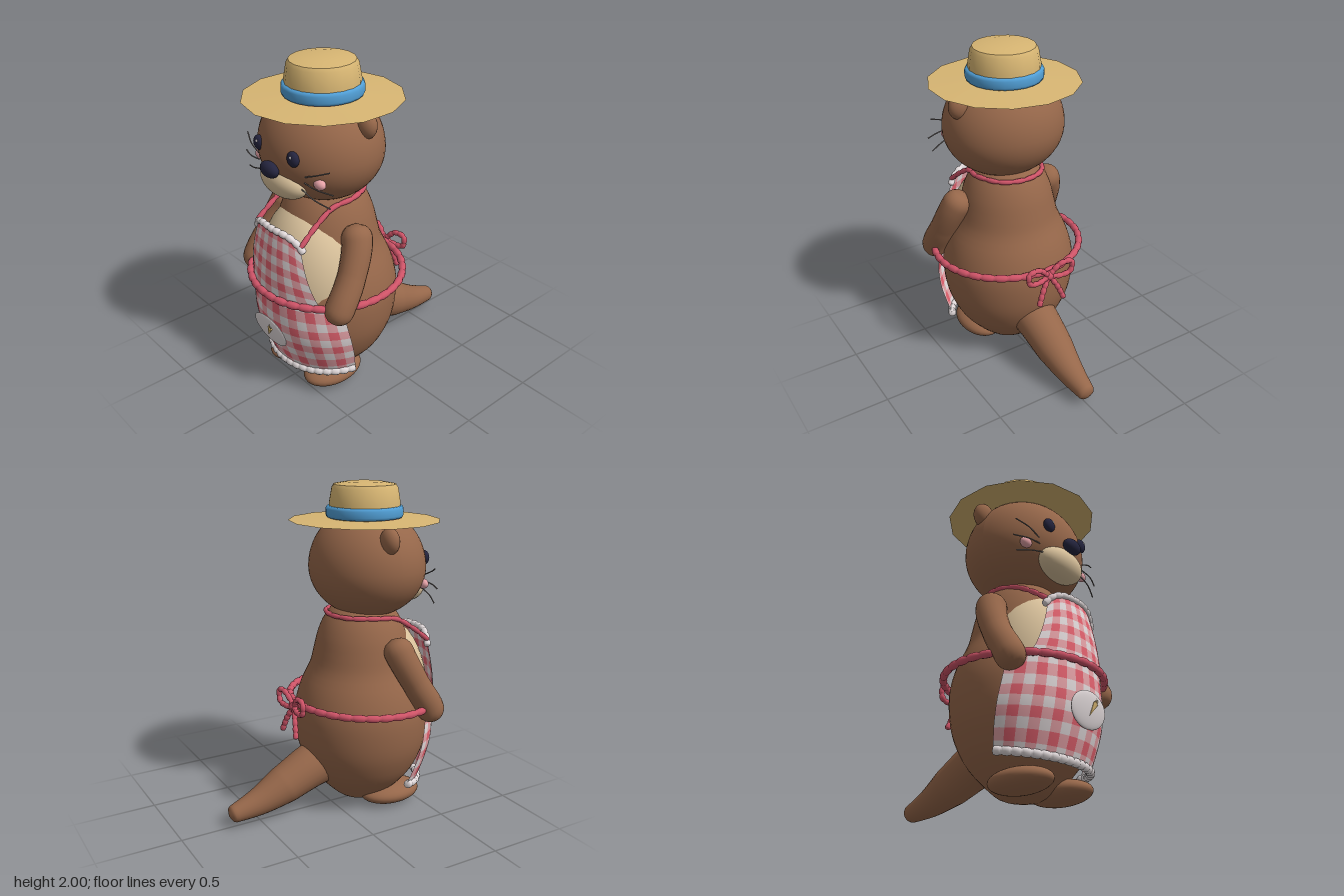
import * as THREE from 'three';
import { mergeVertices, toCreasedNormals } from 'three/addons/utils/BufferGeometryUtils.js';

const mat = (name, color, side = THREE.FrontSide) => {
  const m = new THREE.MeshStandardMaterial({ color, side });
  m.name = name;
  return m;
};
const V = (x, y, z) => new THREE.Vector3(x, y, z);
const CZ = 0.22; // depth of the body axis

export function createModel() {
  const model = new THREE.Group();
  const fur = mat('brown fur', 0x96674a);
  const cream = mat('cream', 0xdac29c);
  const straw = mat('straw', 0xd8b673);
  const blue = mat('ribbon blue', 0x519fd6);
  const cord = mat('cord red', 0xcf5468);
  const checkRed = mat('check red', 0xe3626f, THREE.DoubleSide);
  const pink = mat('soft pink', 0xe6a3a8, THREE.DoubleSide);
  const white = mat('white cotton', 0xe2dadb, THREE.DoubleSide);
  const navy = mat('dark navy', 0x25253f);
  const grey = mat('whisker grey', 0x77716f);

  const add = (name, geometry, material, parent = model) => {
    const mesh = new THREE.Mesh(geometry, material);
    mesh.name = name;
    parent.add(mesh);
    return mesh;
  };
  const ball = (name, material, pos, size, seg = 32) => {
    const mesh = add(name, new THREE.SphereGeometry(1, seg, Math.ceil(seg * 0.6)), material);
    mesh.position.set(...pos);
    mesh.scale.set(...size);
    return mesh;
  };
  const lathe = (name, material, pts, seg, z, crease) => {
    let g = new THREE.LatheGeometry(pts.map(p => new THREE.Vector2(...p)), seg);
    if (crease) g = toCreasedNormals(g, crease);
    const mesh = add(name, g, material);
    mesh.position.z = z;
    return mesh;
  };
  // Tube whose radius follows a rule along its path
  const sweep = (name, material, pts, radius, segs, sides = 8, closed = false) => {
    const curve = new THREE.CatmullRomCurve3(pts, closed);
    const tube = new THREE.TubeGeometry(curve, segs, 1, sides, closed);
    const pos = tube.attributes.position, p = V(0, 0, 0);
    for (let i = 0; i <= segs; i++) {
      const c = curve.getPointAt(i / segs), r = radius(i / segs);
      for (let j = 0; j <= sides; j++) {
        const k = i * (sides + 1) + j;
        p.fromBufferAttribute(pos, k).sub(c).multiplyScalar(r).add(c);
        pos.setXYZ(k, p.x, p.y, p.z);
      }
    }
    tube.deleteAttribute('normal');
    tube.deleteAttribute('uv');
    const g = mergeVertices(tube, 1e-5);
    g.computeVertexNormals();
    return add(name, g, material);
  };
  // Radius rules: a string of beads, and a limb with rounded ends
  const beads = (r, n) => t => r * (0.72 + 0.28 * Math.sqrt(Math.abs(Math.sin(t * n * Math.PI))));
  const limb = (r0, r1, r2, cap0, cap1) => t => {
    const r = t < 0.5 ? THREE.MathUtils.lerp(r0, r1, t * 2) : THREE.MathUtils.lerp(r1, r2, t * 2 - 1);
    const round = (d, cap) => (d >= cap ? 1 : Math.sqrt(Math.max(0, 1 - (1 - d / cap) ** 2)));
    return r * round(t, cap0) * round(1 - t, cap1);
  };

  // Body, belly and head
  const profile = [[0, 0.015], [0.12, 0.025], [0.2, 0.08], [0.31, 0.2], [0.37, 0.31], [0.405, 0.42],
    [0.418, 0.55], [0.41, 0.66], [0.375, 0.78], [0.32, 0.9], [0.295, 1.0], [0.27, 1.1], [0.225, 1.2], [0.15, 1.28], [0, 1.32]];
  const smooth = new THREE.SplineCurve(profile.map(p => new THREE.Vector2(...p))).getPoints(42);
  lathe('body', fur, smooth.map(p => [Math.max(0, p.x), p.y]), 48, CZ);
  ball('belly', cream, [0, 0.69, 0.34], [0.34, 0.5, 0.3], 40);
  const skull = new THREE.SphereGeometry(1, 48, 32);
  const sp = skull.attributes.position;
  for (let i = 0; i < sp.count; i++) {
    const y = sp.getY(i);
    sp.setXYZ(i, sp.getX(i) * 0.375, y * (y > 0 ? 0.355 : 0.305), sp.getZ(i) * 0.345);
  }
  skull.computeVertexNormals();
  add('head', skull, fur).position.set(0, 1.5, 0.25);

  // Face
  ball('muzzle', cream, [0, 1.36, 0.515], [0.18, 0.1, 0.095]).rotation.x = 0.35;
  ball('nose', navy, [0, 1.45, 0.61], [0.07, 0.046, 0.038], 24);

  for (const s of [-1, 1]) {
    const side = s > 0 ? 'left ' : 'right ';
    ball(side + 'ear', fur, [s * 0.315, 1.69, 0.2], [0.07, 0.077, 0.052], 24);
    ball(side + 'eye', navy, [s * 0.15, 1.545, 0.562], [0.042, 0.044, 0.027], 24);
    ball(side + 'eye glint', white, [s * 0.15 + 0.008, 1.562, 0.585], [0.008, 0.008, 0.005], 10);
    ball(side + 'cheek', pink, [s * 0.262, 1.413, 0.478], [0.042, 0.03, 0.028], 20);
    [[0.2, 1.45, 0.365, 1.52], [0.2, 1.415, 0.39, 1.4], [0.17, 1.37, 0.365, 1.31]].forEach(([x0, y0, x1, y1]) =>
      sweep(side + 'whisker', grey, [V(s * x0, y0, 0.53), V(s * (x0 + x1) / 2, (y0 + y1) / 2, 0.525), V(s * x1, y1, 0.49)],
        () => 0.004, 6, 5));

    // Arms and feet
    sweep(side + 'arm', fur, [V(s * 0.29, 1.11, 0.25), V(s * 0.345, 0.99, 0.29), V(s * 0.385, 0.82, 0.375),
      V(s * 0.395, 0.7, 0.45), V(s * 0.385, 0.595, 0.5)], limb(0.092, 0.082, 0.088, 0.15, 0.16), 40, 20);
    ball(side + 'foot', fur, [s * 0.17, 0.07, 0.335], [0.135, 0.07, 0.2]);

    // Bow at the back of the waist
    sweep(side + 'bow loop', cord, [V(0, 0.69, -0.255), V(s * 0.08, 0.76, -0.27), V(s * 0.15, 0.755, -0.275),
      V(s * 0.145, 0.69, -0.275), V(s * 0.07, 0.675, -0.27), V(0, 0.69, -0.255)], beads(0.018, 9), 72);
    sweep(side + 'bow tail', cord, [V(0, 0.69, -0.255), V(s * 0.05, 0.61, -0.275), V(s * 0.09, 0.515, -0.29)],
      t => (t === 1 ? 0 : beads(0.018, 5)(t)), 40);
  }
  ball('bow knot', cord, [0, 0.69, -0.255], [0.03, 0.03, 0.028], 16);

  // Tail
  sweep('tail', fur, [V(0, 0.33, 0.02), V(0, 0.28, -0.14), V(0, 0.195, -0.33), V(0, 0.125, -0.5), V(0, 0.075, -0.7)],
    limb(0.15, 0.118, 0.048, 0.1, 0.04), 50, 24);

  // Gingham cloth: a curved grid whose cells take one of three colours
  const gingham = (name, surface, cols, rows) => {
    const sub = 2, w = cols * sub, h = rows * sub, pos = [], lists = [[], [], []];
    for (let j = 0; j <= h; j++) for (let i = 0; i <= w; i++) pos.push(...surface((2 * i) / w - 1, j / h).toArray());
    for (let j = 0; j < h; j++) for (let i = 0; i < w; i++) {
      const kind = (Math.floor(i / sub) % 2) + (Math.floor(j / sub) % 2);
      const a = j * (w + 1) + i, b = a + w + 1;
      lists[kind].push(a, a + 1, b + 1, a, b + 1, b);
    }
    const g = new THREE.BufferGeometry();
    g.setAttribute('position', new THREE.Float32BufferAttribute(pos, 3));
    g.setIndex(lists.flat());
    let start = 0;
    lists.forEach((l, k) => { g.addGroup(start, l.length, k); start += l.length; });
    g.computeVertexNormals();
    add(name, g, [white, pink, checkRed]);
  };
  const skirtRadius = new THREE.SplineCurve([[0.345, 0.16], [0.395, 0.29], [0.432, 0.42], [0.443, 0.55], [0.44, 0.69]]
    .map(p => new THREE.Vector2(...p)));
  const skirt = (u, v) => {
    const p = skirtRadius.getPoint(v), a = u * THREE.MathUtils.lerp(1.27, 1.05, v);
    const rx = p.x + 0.045 * (1 - v);
    return V(rx * Math.sin(a), p.y + 0.03 * u * u * (1 - v), CZ + p.x * Math.cos(a));
  };
  const bib = (u, v) => {
    const x = u * (0.325 - 0.125 * Math.pow(v, 0.8));
    return V(x, 0.69 + v * (0.4 - 0.06 * u ** 4), 0.662 - 0.045 * v * v - 1.15 * x * x);
  };
  gingham('apron skirt', skirt, 17, 9);
  gingham('apron bib', bib, 11, 8);

  // White frills along the hem and the bib top
  const edge = (f, v, n, reach = 1) => Array.from({ length: n }, (_, i) => f(reach * ((2 * i) / (n - 1) - 1), v));
  const ends = rule => t => (t === 0 || t === 1 ? 0 : rule(t));
  sweep('skirt frill', white, edge(skirt, 0, 15), ends(beads(0.026, 19)), 152, 10);
  sweep('bib frill', white, edge(bib, 1, 11, 1.1), ends(beads(0.021, 11)), 88, 10);

  // Waist cord and neck strap
  const waist = Array.from({ length: 24 }, (_, i) => {
    const a = (i / 24) * Math.PI * 2;
    return V(0.468 * Math.sin(a), 0.692 - 0.008 * Math.cos(a), 0.23 + 0.45 * Math.cos(a));
  });
  sweep('waist cord', cord, waist, beads(0.023, 36), 288, 10, true);
  const half = [[0.205, 1.04, 0.575], [0.2, 1.13, 0.46], [0.2, 1.2, 0.34], [0.215, 1.222, 0.2], [0.14, 1.226, 0.05]];
  sweep('neck strap', cord, [...half.map(p => V(...p)), V(0, 1.225, 0.005),
    ...half.slice().reverse().map(([x, y, z]) => V(-x, y, z))], beads(0.016, 18), 144, 8);

  // Oval patch with a small carrot
  const patch = ball('apron patch', white, [0, 0.425, 0.664], [0.15, 0.102, 0.016]);
  patch.rotation.x = 0.2;
  const carrot = new THREE.Group();
  carrot.name = 'carrot emblem';
  const root = add('carrot root', new THREE.ConeGeometry(0.018, 0.09, 12), straw, carrot);
  root.rotation.z = Math.PI;
  for (const k of [-1, 0, 1]) {
    const leaf = add('carrot leaf', new THREE.ConeGeometry(0.006, 0.035, 6), straw, carrot);
    leaf.position.set(k * 0.008, 0.058, 0);
    leaf.rotation.z = -k * 0.3;
  }
  carrot.position.set(0.012, 0.425, 0.683);
  carrot.rotation.set(0.2, 0, -0.5);
  carrot.scale.z = 0.5;
  model.add(carrot);

  // Straw hat
  lathe('hat brim', straw, [[0, 1.766], [0.2, 1.766], [0.452, 1.778], [0.2, 1.792]], 14, 0.23, 0.5);
  lathe('hat crown', straw, [[0.215, 1.78], [0.212, 1.88], [0.197, 1.965], [0.185, 1.985], [0.11, 1.998], [0, 2]], 18, 0.23, 0.6);
  lathe('hat ribbon', blue, [[0.2, 1.79], [0.224, 1.795], [0.231, 1.81], [0.23, 1.845], [0.222, 1.86], [0.2, 1.864]], 24, 0.23);

  return model;
}
